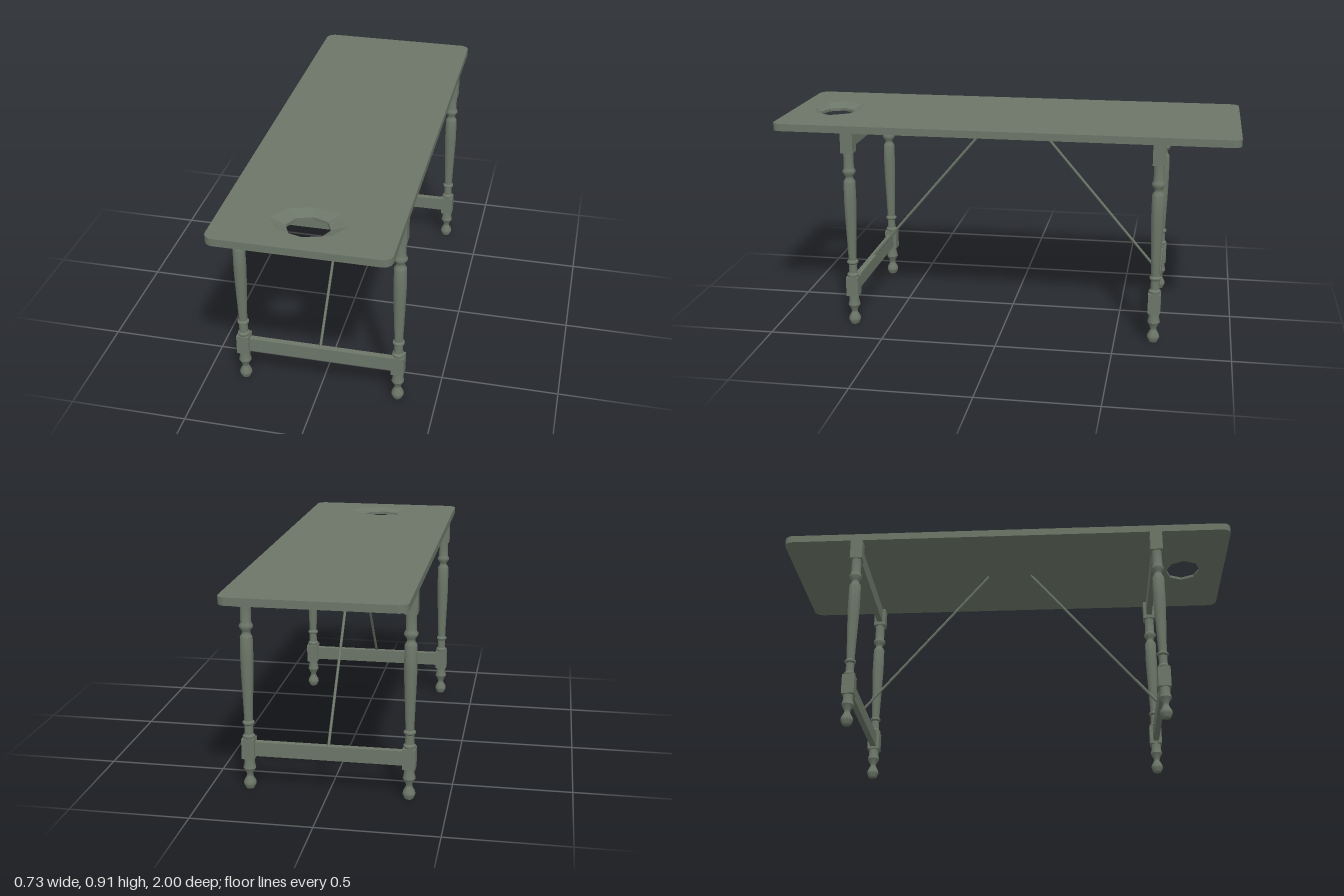
import * as THREE from 'three';
import { toCreasedNormals } from 'three/addons/utils/BufferGeometryUtils.js';

const material = new THREE.MeshStandardMaterial({ color: 0x6c7668, side: THREE.DoubleSide });

const TOP = 0.91, UNDER = 0.878;   // table top heights
const LEG_X = 0.335, LEG_Z = 0.667;

function addMesh(parent, name, geometry, x = 0, y = 0, z = 0) {
  const mesh = new THREE.Mesh(geometry, material);
  mesh.name = name;
  mesh.position.set(x, y, z);
  parent.add(mesh);
  return mesh;
}

function addBox(parent, name, w, y0, y1, d, x, z) {
  return addMesh(parent, name, new THREE.BoxGeometry(w, y1 - y0, d), x, (y0 + y1) / 2, z);
}

// Rounded rectangle, drawn in x / -z
function topOutline() {
  const w = 0.362, l = 1, r = 0.04, s = new THREE.Shape();
  s.moveTo(w, l - r);
  s.absarc(w - r, l - r, r, 0, Math.PI / 2);
  s.absarc(-w + r, l - r, r, Math.PI / 2, Math.PI);
  s.absarc(-w + r, -l + r, r, Math.PI, Math.PI * 1.5);
  s.absarc(w - r, -l + r, r, Math.PI * 1.5, Math.PI * 2);
  s.closePath();
  return s;
}

// Eight-sided oval ring at the face opening
function oval(rx, rz, cz) {
  return Array.from({ length: 8 }, (_, i) => {
    const a = (i / 8) * Math.PI * 2;
    return new THREE.Vector2(Math.cos(a) * rx, Math.sin(a) * rz - cz);
  });
}

// Closed flat-shaded band running between two rings of equal length
function band(lower, y0, upper, y1) {
  const pos = [];
  const put = (p, y) => pos.push(p.x, y, -p.y);
  lower.forEach((a, i) => {
    const j = (i + 1) % lower.length;
    put(a, y0); put(lower[j], y0); put(upper[j], y1);
    put(a, y0); put(upper[j], y1); put(upper[i], y1);
  });
  const g = new THREE.BufferGeometry();
  g.setAttribute('position', new THREE.Float32BufferAttribute(pos, 3));
  g.computeVertexNormals();
  return g;
}

function tableTop() {
  const group = new THREE.Group();
  group.name = 'tableTop';
  const inner = oval(0.09, 0.078, 0.812), outer = oval(0.155, 0.11, 0.803);

  const upper = topOutline(), lower = topOutline();
  upper.holes.push(new THREE.Path(outer));
  lower.holes.push(new THREE.Path(inner));
  addMesh(group, 'topSurface', new THREE.ShapeGeometry(upper, 8).rotateX(-Math.PI / 2), 0, TOP);
  const under = new THREE.ShapeGeometry(lower, 8).rotateX(-Math.PI / 2);
  under.index.array.reverse();
  under.computeVertexNormals();
  addMesh(group, 'underside', under, 0, UNDER);

  const rim = topOutline().getPoints(8);
  addMesh(group, 'rim', band(rim, UNDER, rim, TOP));

  // Dished edge and straight wall of the opening
  const mid = UNDER + 0.012;
  addMesh(group, 'openingDish', band([...inner].reverse(), mid, [...outer].reverse(), TOP));
  addMesh(group, 'openingWall', band([...inner].reverse(), UNDER, [...inner].reverse(), mid));
  return group;
}

// Turned sections: [radius, height]
const FOOT = [[0, 0], [0.018, 0], [0.027, 0.02], [0.025, 0.032], [0.013, 0.055], [0.014, 0.066],
  [0.027, 0.09], [0.022, 0.112], [0.022, 0.136]];
const SHAFT = [[0.022, 0.22], [0.026, 0.227], [0.026, 0.234], [0.019, 0.241], [0.018, 0.281],
  [0.025, 0.287], [0.025, 0.294], [0.018, 0.3], [0.02, 0.36], [0.025, 0.49], [0.027, 0.56],
  [0.026, 0.66], [0.017, 0.675], [0.017, 0.684], [0.029, 0.702], [0.029, 0.708], [0.022, 0.72], [0.022, 0.792]];

function turning(profile) {
  const lathe = new THREE.LatheGeometry(profile.map(([r, y]) => new THREE.Vector2(r, y)), 14);
  return toCreasedNormals(lathe, 0.6);
}

function createTrestle(side) {
  const group = new THREE.Group();
  group.name = side > 0 ? 'frontTrestle' : 'backTrestle';
  const z = side * LEG_Z;
  for (const s of [-1, 1]) {
    const leg = new THREE.Group();
    leg.name = s > 0 ? 'leftLeg' : 'rightLeg';
    leg.position.set(s * LEG_X, 0, z);
    addMesh(leg, 'foot', turning(FOOT));
    addBox(leg, 'lowerBlock', 0.054, 0.135, 0.223, 0.054, 0, 0);
    addMesh(leg, 'shaft', turning(SHAFT));
    addBox(leg, 'upperBlock', 0.054, 0.79, UNDER, 0.054, 0, 0);
    group.add(leg);
  }
  addBox(group, 'apron', 0.63, 0.807, UNDER, 0.026, 0, z);
  addBox(group, 'stretcher', 0.63, 0.147, 0.209, 0.026, 0, z);

  // Diagonal rod from the stretcher to the underside
  const a = new THREE.Vector3(0, 0.205, side * 0.667), b = new THREE.Vector3(0, 0.872, side * 0.1);
  const dir = b.clone().sub(a);
  const rod = addMesh(group, 'braceRod', new THREE.CylinderGeometry(0.006, 0.006, dir.length(), 8));
  rod.position.copy(a).add(b).multiplyScalar(0.5);
  rod.quaternion.setFromUnitVectors(new THREE.Vector3(0, 1, 0), dir.normalize());
  return group;
}

export function createModel() {
  const model = new THREE.Group();
  model.name = 'massageTable';
  model.add(tableTop(), createTrestle(1), createTrestle(-1));
  return model;
}
